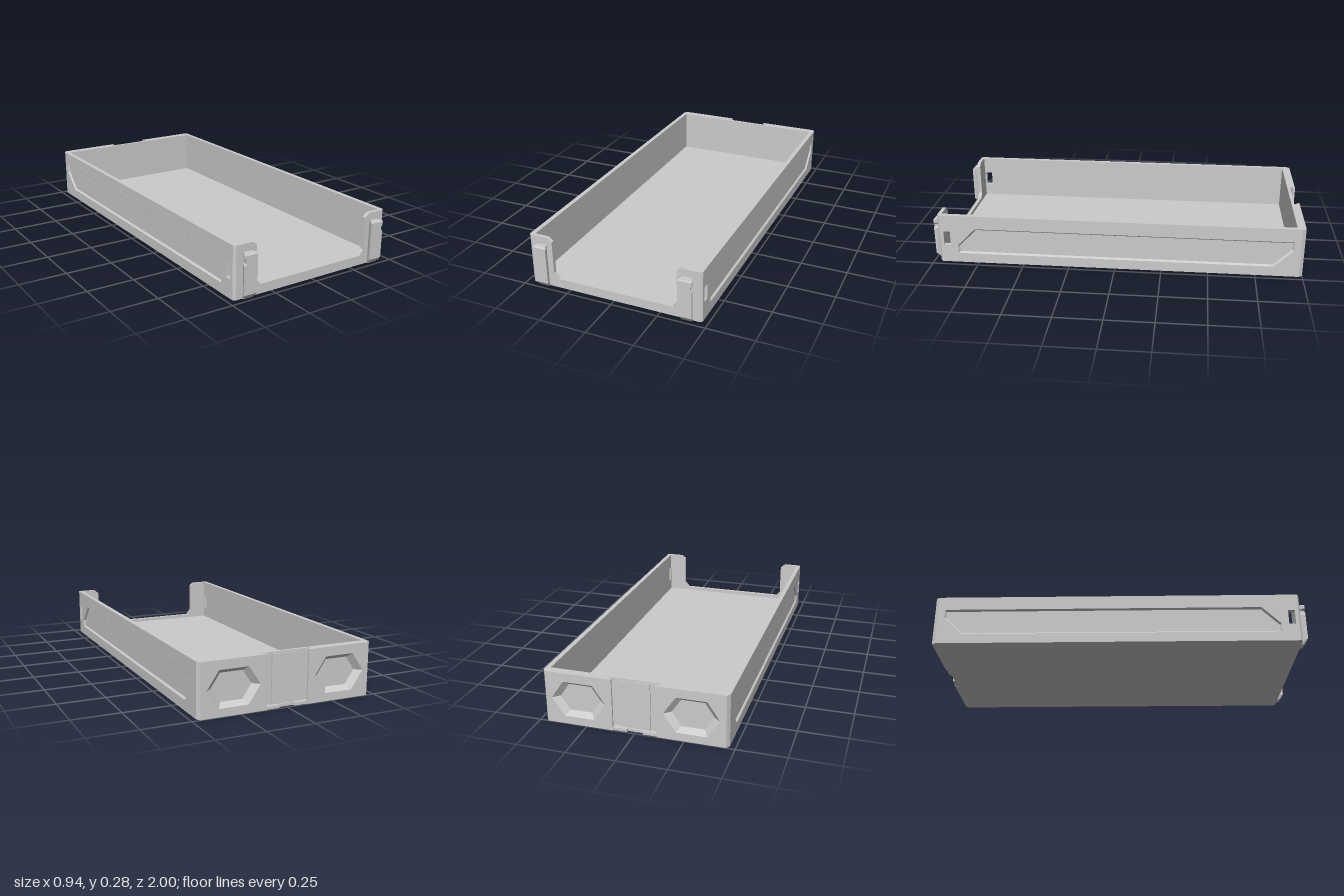
import * as THREE from 'three';

const H = 0.275;       // tray height
const FLOOR = 0.03;    // floor thickness
const material = new THREE.MeshStandardMaterial({ color: 0xcccccc, flatShading: true });
const thinMaterial = new THREE.MeshStandardMaterial({ color: 0xcccccc, flatShading: true, side: THREE.DoubleSide });

const toPoints = (pts) => pts.map(([x, y]) => new THREE.Vector2(x, y));

// Flat plate in XY with optional holes, thick along +z
function plate(outline, depth, holes = []) {
  const shape = new THREE.Shape(toPoints(outline));
  holes.forEach((h) => shape.holes.push(new THREE.Path(toPoints(h))));
  return new THREE.ExtrudeGeometry(shape, { depth, bevelEnabled: false });
}

// Upright prism from an [x, z] plan
function post(plan, height) {
  return plate(plan, height).rotateX(Math.PI / 2).translate(0, height, 0);
}

// Box given by its limits
function block(x0, x1, y0, y1, z0, z1) {
  return new THREE.BoxGeometry(x1 - x0, y1 - y0, z1 - z0)
    .translate((x0 + x1) / 2, (y0 + y1) / 2, (z0 + z1) / 2);
}

// Skin over a list of rings, optionally closed at both ends
function loft(rings, capped) {
  const out = [];
  const n = rings[0].length;
  const tri = (a, b, c) => out.push(...a, ...b, ...c);
  for (let r = 0; r < rings.length - 1; r++) {
    for (let i = 0; i < n; i++) {
      const j = (i + 1) % n, a = rings[r], b = rings[r + 1];
      tri(a[i], a[j], b[j]);
      tri(a[i], b[j], b[i]);
    }
  }
  if (capped) {
    const first = rings[0], last = rings[rings.length - 1];
    for (let i = 1; i < n - 1; i++) {
      tri(first[0], first[i + 1], first[i]);
      tri(last[0], last[i], last[i + 1]);
    }
  }
  const g = new THREE.BufferGeometry();
  g.setAttribute('position', new THREE.Float32BufferAttribute(out, 3));
  g.computeVertexNormals();
  return g;
}

// Mirrored copy across x = 0 with the winding corrected
function mirrored(geometry) {
  const g = geometry.index ? geometry.toNonIndexed() : geometry.clone();
  const p = g.attributes.position;
  const v = [0, 1, 2].map(() => new THREE.Vector3());
  for (let i = 0; i < p.count; i += 3) {
    v.forEach((q, k) => q.fromBufferAttribute(p, i + k));
    [v[0], v[2], v[1]].forEach((q, k) => p.setXYZ(i + k, -q.x, q.y, q.z));
  }
  g.computeVertexNormals();
  return g;
}

export function createModel() {
  const model = new THREE.Group();
  const add = (name, geometry, mat = material) => {
    const mesh = new THREE.Mesh(geometry, mat);
    mesh.name = name;
    model.add(mesh);
  };
  const addPair = (name, geometry, mat) => {
    add(name + 'Left', geometry, mat);
    add(name + 'Right', mirrored(geometry), mat);
  };

  add('floor', block(-0.445, 0.445, 0, FLOOR, -0.955, 0.945));

  // Front wall with a wide chamfered opening
  const halfFront = [[0.445, 0], [0.445, H], [0.365, H], [0.34, 0.255], [0.34, 0.08], [0.315, 0.05]];
  const frontOutline = [...halfFront, ...halfFront.map(([x, y]) => [-x, y]).reverse()];
  add('frontWall', plate(frontOutline, 0.02).translate(0, 0, 0.945));
  addPair('frontCorner', post([[0.445, 0.945], [0.47, 0.945], [0.47, 0.955], [0.458, 0.965], [0.445, 0.965]], H));

  // Side walls in (-z, y): inner skin, outer skin with sunken panel, through slot
  const wall = [[-0.945, 0], [0.96, 0], [0.96, H], [-0.945, H]];
  const slot = [[-0.936, 0.1], [-0.9, 0.1], [-0.9, 0.18], [-0.936, 0.18]];
  const panel = [[-0.86, 0.054], [0.845, 0.054], [0.945, 0.15], [0.945, 0.2], [-0.76, 0.2], [-0.86, 0.1]];
  const panelInner = [[-0.852, 0.062], [0.842, 0.062], [0.937, 0.154], [0.937, 0.192], [-0.757, 0.192], [-0.852, 0.097]];
  const toSide = (g, x) => g.rotateY(Math.PI / 2).translate(x, 0, 0);
  addPair('sideWallInner', toSide(plate(wall, 0.015, [slot]), 0.445));
  addPair('sideWallOuter', toSide(plate(wall, 0.01, [slot, panel]), 0.46));
  const panelRim = loft([panel.map(([u, y]) => [u, y, 0.01]), panelInner.map(([u, y]) => [u, y, 0])], false);
  addPair('sidePanelRim', toSide(panelRim, 0.46), thinMaterial);

  // Back wall: solid core, chamfered corners, wings with tapered hexagonal sockets
  add('backWall', block(-0.445, 0.445, 0, H, -0.97, -0.955));
  addPair('backCorner', post([[0.445, -1], [0.457, -1], [0.47, -0.98], [0.47, -0.955], [0.445, -0.955]], H));
  const hexagon = (s) => [[0.14, 0], [0.077, 0.093], [-0.077, 0.093], [-0.14, 0], [-0.077, -0.093], [0.077, -0.093]]
    .map(([x, y]) => [0.287 + x * s, 0.135 + y * s]);
  const wing = [[0.135, 0], [0.445, 0], [0.445, H], [0.135, H]];
  addPair('backWing', plate(wing, 0.03, [hexagon(1)]).translate(0, 0, -1));
  addPair('socketTaper', loft([
    hexagon(1).map(([x, y]) => [x, y, -1]),
    hexagon(0.76).map(([x, y]) => [x, y, -0.97]),
  ], false), thinMaterial);

  // Dovetail channel in the middle of the back, with a notched stop at its foot
  addPair('channelEdge', post([[0.112, -1], [0.135, -1], [0.135, -0.97], [0.13, -0.97], [0.13, -0.977], [0.112, -0.99]], H));
  add('channelPanel', block(-0.075, 0.075, 0, H - 0.01, -0.976, -0.965));
  addPair('channelStop', block(0.04, 0.13, 0, 0.015, -0.995, -0.965));
  add('channelNotch', block(-0.04, 0.04, 0, 0.015, -0.983, -0.965));

  // Dovetail hooks on the front: [y, inner half width, outer half width, front z]
  const sections = [
    [0, 0.025, 0.025, 0.975], [0.03, 0.036, 0.036, 1], [0.177, 0.036, 0.036, 1],
    [0.187, 0.036, 0.027, 1], [0.2, 0.036, 0.027, 1], [0.21, 0.036, 0.036, 1],
    [0.228, 0.036, 0.036, 1], [0.235, 0.032, 0.032, 0.995],
  ];
  const hook = loft(sections.map(([y, a, b, z]) => {
    const lip = z - 0.01;
    return [[b, z], [b, lip], [0.02, 0.96], [-0.02, 0.96], [-a, lip], [-a, z]]
      .map(([x, pz]) => [0.395 + x, y, pz]);
  }), true);
  addPair('frontHook', hook);

  return model;
}
